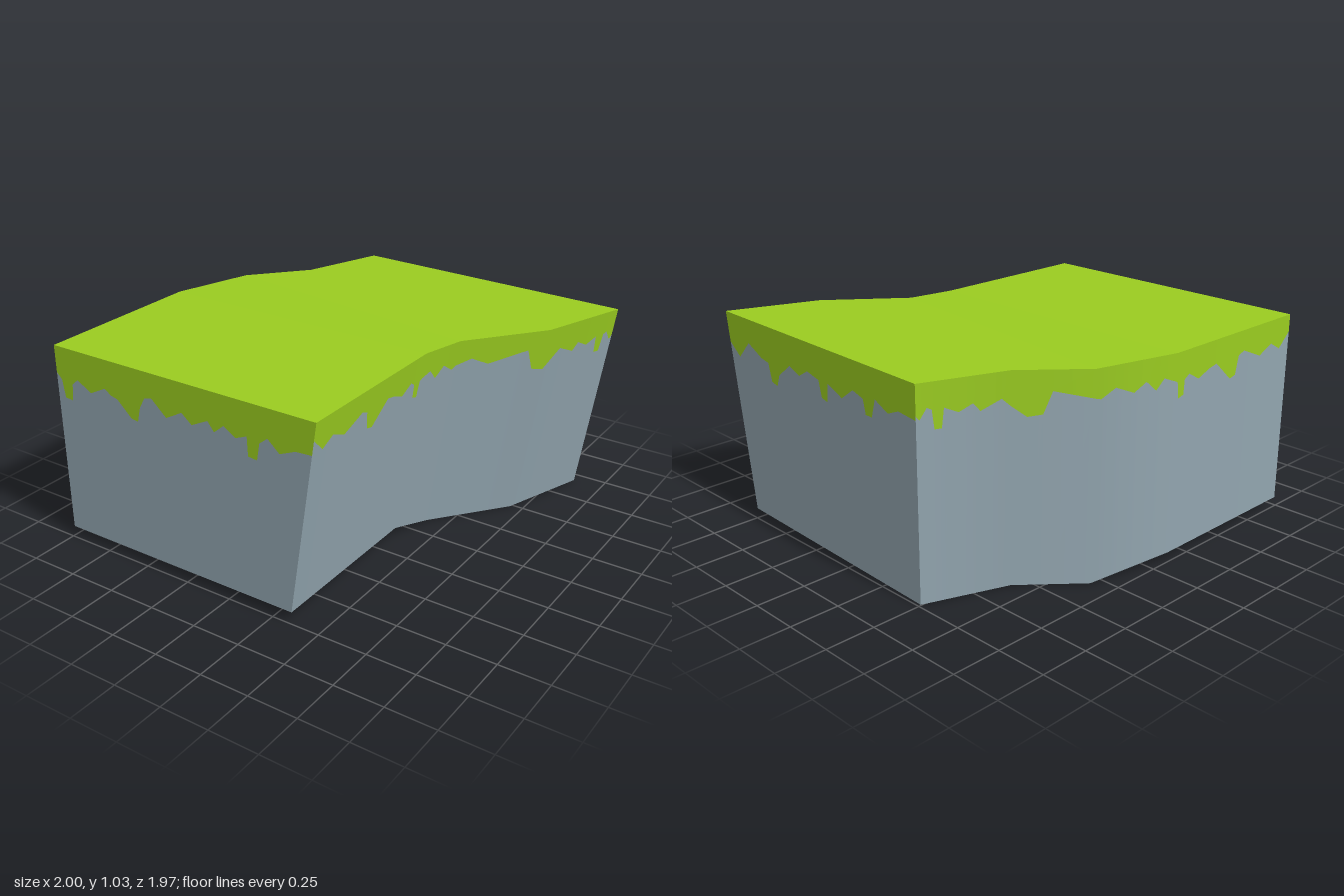
import * as THREE from 'three';

// Stations along the bend, front to back: [x, z] at the top of each side
const LEFT = [[-1, 0.985], [-1, 0.1], [-0.885, -0.31], [-0.645, -0.58], [-0.495, -0.985]];
const RIGHT = [[0.495, 0.985], [0.495, 0.11], [0.545, -0.12], [0.835, -0.485], [0.995, -0.935]];
const TOP_Y = [1.027, 1.027, 1.022, 1.022, 1.022];
const BOTTOM_Y = [0.05, 0.05, 0, 0, 0];
const LEAN = 0.15; // the left-hand (+x) side leans in by this much at its foot

// Lower edge of the grass: [position along the wall, height]
const FRONT_DRIPS = [
  [-1, 0.89], [-0.97, 0.86], [-0.955, 0.77], [-0.91, 0.765], [-0.9, 0.85], [-0.865, 0.88], [-0.78, 0.835],
  [-0.69, 0.88], [-0.65, 0.855], [-0.61, 0.845], [-0.525, 0.77], [-0.485, 0.765], [-0.47, 0.84], [-0.44, 0.895],
  [-0.4, 0.905], [-0.31, 0.83], [-0.22, 0.88], [-0.16, 0.835], [-0.07, 0.88], [-0.03, 0.835], [0.02, 0.88],
  [0.09, 0.84], [0.15, 0.865], [0.165, 0.77], [0.215, 0.765], [0.22, 0.85], [0.26, 0.885], [0.33, 0.83],
  [0.41, 0.865], [0.495, 0.87]];
const SIDE_DRIPS = [
  [0.985, 0.94], [0.91, 0.87], [0.84, 0.91], [0.75, 0.87], [0.62, 0.925], [0.58, 0.91], [0.56, 0.82], [0.52, 0.81],
  [0.41, 0.91], [0.36, 0.9], [0.28, 0.87], [0.21, 0.91], [0.18, 0.89], [0.175, 0.82], [0.14, 0.81], [0.13, 0.89],
  [0.06, 0.92], [0.02, 0.87], [-0.03, 0.92], [-0.09, 0.88], [-0.18, 0.92], [-0.25, 0.88], [-0.41, 0.925],
  [-0.44, 0.82], [-0.49, 0.81], [-0.58, 0.9], [-0.67, 0.86], [-0.7, 0.9], [-0.76, 0.87], [-0.82, 0.9],
  [-0.83, 0.81], [-0.86, 0.81], [-0.87, 0.9], [-0.89, 0.91], [-0.92, 0.86], [-0.935, 0.88]];
const BACK_DRIPS = [
  [0, 0.87], [0.05, 0.81], [0.12, 0.9], [0.19, 0.85], [0.23, 0.84], [0.24, 0.75], [0.27, 0.74], [0.29, 0.8],
  [0.36, 0.87], [0.41, 0.84], [0.46, 0.88], [0.52, 0.86], [0.53, 0.78], [0.56, 0.77], [0.57, 0.86], [0.64, 0.82],
  [0.7, 0.88], [0.75, 0.86], [0.76, 0.79], [0.79, 0.79], [0.81, 0.88], [0.87, 0.84], [0.92, 0.87], [1, 0.86]];

const corner = (side, i, y, lean = 0) => new THREE.Vector3(side[i][0] - lean, y[i], side[i][1]);
const column = (side, i) => ({
  top: corner(side, i, TOP_Y),
  foot: corner(side, i, BOTTOM_Y, side === RIGHT ? LEAN : 0),
});

// Rescales a profile's positions to run from 0 to 1
function normalise(profile) {
  const a = profile[0][0], b = profile[profile.length - 1][0];
  return profile.map(([p, y]) => [(p - a) / (b - a), y]);
}

// Ruled surface between an upper and a lower row running left to right
function ribbon(upper, lower, normals) {
  const pos = [], nor = [], index = [];
  upper.forEach((p, i) => {
    pos.push(...p.toArray(), ...lower[i].toArray());
    if (normals) nor.push(...normals[i].toArray(), ...normals[i].toArray());
    const k = 2 * i;
    if (i) index.push(k - 2, k - 1, k, k, k - 1, k + 1);
  });
  let g = new THREE.BufferGeometry();
  g.setAttribute('position', new THREE.Float32BufferAttribute(pos, 3));
  g.setIndex(index);
  if (normals) g.setAttribute('normal', new THREE.Float32BufferAttribute(nor, 3));
  else {
    g = g.toNonIndexed();
    g.computeVertexNormals();
  }
  return g;
}

// Splits a wall along its drip profile into a grass part and a rock part
function wall(columns, axis, profile) {
  const drips = normalise(profile);
  const stops = normalise(columns.map((c) => [c.top[axis], 0])).map((s) => s[0]);
  const faces = columns.slice(1).map((c, i) => {
    const along = c.top.clone().sub(columns[i].top);
    return along.cross(columns[i].top.clone().sub(columns[i].foot)).normalize();
  });
  const normals = columns.map((_, i) =>
    (faces[i - 1] || faces[i]).clone().add(faces[i] || faces[i - 1]).normalize());
  const ts = [...new Set([...drips.map((d) => d[0]), ...stops])].sort((a, b) => a - b);
  const rows = { top: [], edge: [], foot: [], normal: [] };
  for (const t of ts) {
    let i = 0, j = 0;
    while (i < stops.length - 2 && t > stops[i + 1]) i++;
    while (j < drips.length - 2 && t > drips[j + 1][0]) j++;
    const f = (t - stops[i]) / (stops[i + 1] - stops[i]);
    const [[d0, y0], [d1, y1]] = [drips[j], drips[j + 1]];
    const y = y0 + (y1 - y0) * (t - d0) / (d1 - d0);
    const top = columns[i].top.clone().lerp(columns[i + 1].top, f);
    const foot = columns[i].foot.clone().lerp(columns[i + 1].foot, f);
    rows.top.push(top);
    rows.foot.push(foot);
    rows.edge.push(top.clone().lerp(foot, (top.y - y) / (top.y - foot.y)));
    rows.normal.push(normals[i].clone().lerp(normals[i + 1], f).normalize());
  }
  return {
    grass: ribbon(rows.top, rows.edge, rows.normal),
    rock: ribbon(rows.edge, rows.foot, rows.normal),
  };
}

export function createModel() {
  const grass = new THREE.MeshStandardMaterial({ color: 0x9acc20 });
  grass.name = 'grass green';
  const rock = new THREE.MeshStandardMaterial({ color: 0x92a5af });
  rock.name = 'rock grey';
  const model = new THREE.Group();
  model.name = 'cliffBlock';
  const add = (name, geometry, material) => {
    const mesh = new THREE.Mesh(geometry, material);
    mesh.name = name;
    model.add(mesh);
  };

  // Four walls, each running left to right as seen from outside
  const steps = [0, 1, 2, 3, 4], back = [4, 3, 2, 1, 0];
  const walls = {
    front: wall([column(LEFT, 0), column(RIGHT, 0)], 'x', FRONT_DRIPS),
    left: wall(steps.map((i) => column(RIGHT, i)), 'z', SIDE_DRIPS),
    back: wall([column(RIGHT, 4), column(LEFT, 4)], 'x', BACK_DRIPS),
    right: wall(back.map((i) => column(LEFT, i)), 'z', [...SIDE_DRIPS].reverse()),
  };
  for (const [side, parts] of Object.entries(walls)) {
    add(side + 'GrassDrips', parts.grass, grass);
    add(side + 'RockWall', parts.rock, rock);
  }

  // Grass top and stepped rock underside
  const tops = (side) => steps.map((i) => column(side, i).top);
  const feet = (side) => steps.map((i) => column(side, i).foot);
  add('grassTop', ribbon(tops(LEFT), tops(RIGHT)), grass);
  add('rockUnderside', ribbon(feet(RIGHT), feet(LEFT)), rock);
  return model;
}
